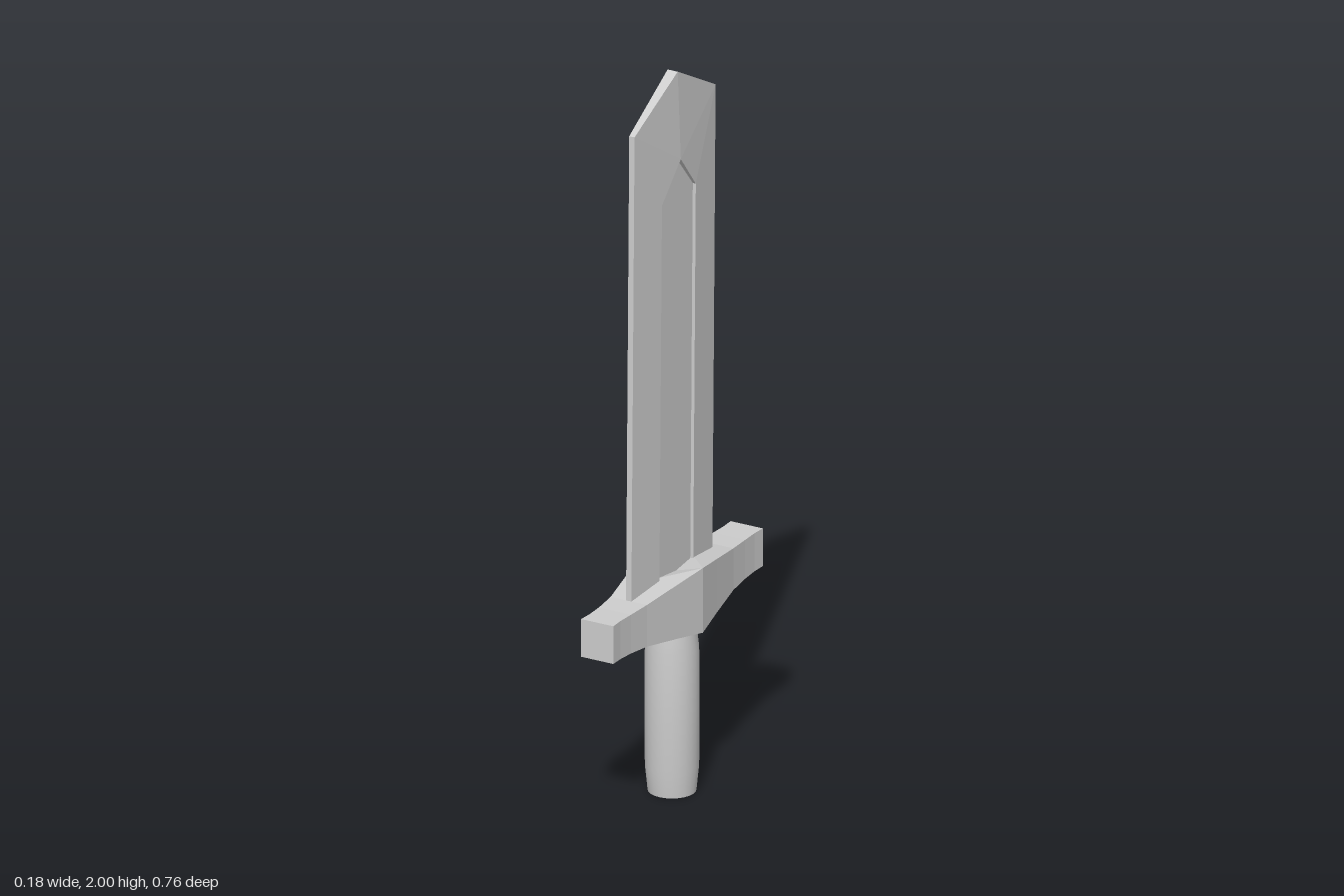
import * as THREE from 'three';
import { toCreasedNormals } from 'three/addons/utils/BufferGeometryUtils.js';

// Builds one quarter (+x, +z) from faces and mirrors it across x and z.
function mirroredGeometry(faces, shift = () => 0) {
  const positions = [];
  for (const s of [1, -1]) {
    for (const t of [1, -1]) {
      for (const face of faces) {
        const points = face.map(([x, y, z]) => [x * s, y, z * t + shift(y)]);
        if (s * t < 0) points.reverse();
        // keep the same fan origin after reversing
        if (s * t < 0) points.unshift(points.pop());
        for (let i = 1; i < points.length - 1; i++) {
          positions.push(...points[0], ...points[i], ...points[i + 1]);
        }
      }
    }
  }
  const geometry = new THREE.BufferGeometry();
  geometry.setAttribute('position', new THREE.Float32BufferAttribute(positions, 3));
  geometry.computeVertexNormals();
  return geometry;
}

// Bevelled blade with a pointed, recessed fuller on both faces
function bladeGeometry() {
  const bottom = 0.58, shoulder = 1.89, edge = 0.206, floor = 0.012;
  const edgeBottom = [0.008, bottom, edge], edgeTop = [0.008, shoulder, edge];
  const tip = [0.015, 2, 0];
  const rimBottom = [0.021, bottom, 0.086], rimTop = [0.021, 1.66, 0.086], rimTip = [0.026, 1.76, 0];
  const sunk = ([, y, z]) => [floor, y, z];
  const mid = ([, y, z]) => [0, y, z];
  const faces = [
    [edgeBottom, rimBottom, rimTop, edgeTop],
    [edgeTop, rimTop, rimTip, tip],
    [rimBottom, sunk(rimBottom), sunk(rimTop), rimTop],
    [rimTop, sunk(rimTop), sunk(rimTip), rimTip],
    [sunk(rimBottom), [floor, bottom, 0], sunk(rimTip), sunk(rimTop)],
    [mid(edgeBottom), edgeBottom, edgeTop, mid(edgeTop)],
    [mid(edgeTop), edgeTop, tip, mid(tip)],
  ];
  // the blade leans very slightly backwards
  return mirroredGeometry(faces, (y) => 0.014 - 0.0125 * (y - 0.6));
}

// Crossguard swelling towards the middle, dipped where the blade enters
function guardGeometry() {
  // z, half width, top, bottom, top at the centre line
  const stations = [
    [0, 0.092, 0.635, 0.455, 0.608],
    [0.1, 0.074, 0.62, 0.47, 0.62],
    [0.22, 0.054, 0.603, 0.487, 0.603],
    [0.29, 0.048, 0.6, 0.492, 0.6],
    [0.34, 0.046, 0.6, 0.494, 0.6],
    [0.38, 0.048, 0.6, 0.495, 0.6],
  ].map(([z, w, top, bottom, centre]) => ({
    c: [0, centre, z], t: [w, top, z], b: [w, bottom, z], d: [0, bottom, z],
  }));
  const faces = [];
  for (let i = 0; i < stations.length - 1; i++) {
    const p = stations[i], q = stations[i + 1];
    faces.push([q.c, q.t, p.t, p.c], [p.b, p.t, q.t, q.b], [p.d, p.b, q.b, q.d]);
  }
  const end = stations[stations.length - 1];
  faces.push([end.d, end.b, end.t, end.c]);
  return mirroredGeometry(faces);
}

// Round grip, tapered at both ends
function gripGeometry() {
  const profile = [[0, 0], [0.063, 0], [0.07, 0.07], [0.071, 0.24], [0.07, 0.4], [0.063, 0.46], [0, 0.46]];
  const lathe = new THREE.LatheGeometry(profile.map(([r, y]) => new THREE.Vector2(r, y)), 24);
  return toCreasedNormals(lathe, 0.6);
}

export function createModel() {
  const steel = new THREE.MeshStandardMaterial({ color: 0xcccccc });
  steel.name = 'steel grey';

  const model = new THREE.Group();
  model.name = 'sword';
  const parts = { blade: bladeGeometry(), guard: guardGeometry(), grip: gripGeometry() };
  for (const [name, geometry] of Object.entries(parts)) {
    const mesh = new THREE.Mesh(geometry, steel);
    mesh.name = name;
    model.add(mesh);
  }
  return model;
}
